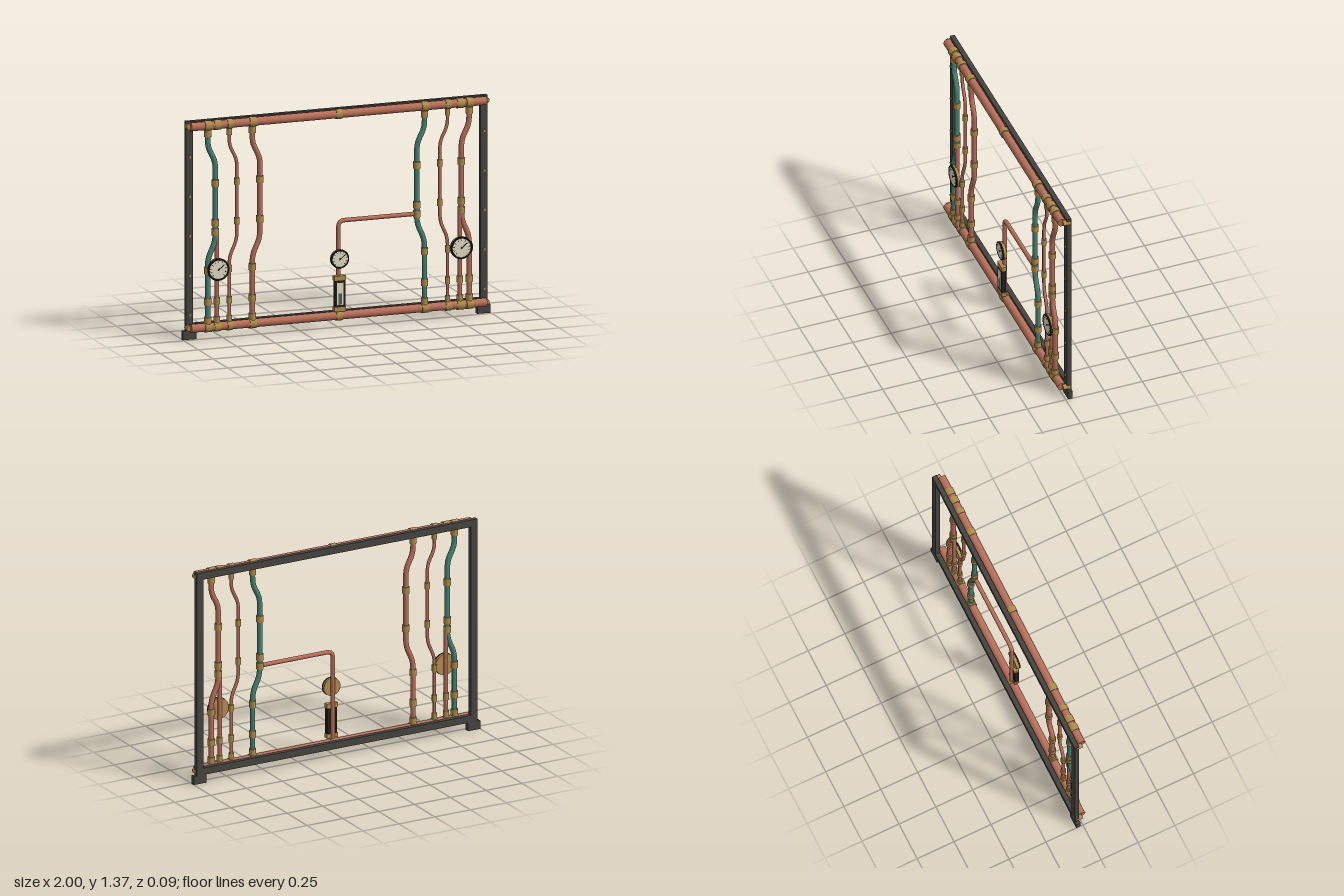
import * as THREE from 'three';

const mat = (name, color) => {
  const m = new THREE.MeshStandardMaterial({ color });
  m.name = name;
  return m;
};

export function createModel() {
  const root = new THREE.Group();
  root.name = 'pipeFrame';
  const copper = mat('copper', 0xb87059);
  const brass = mat('brass', 0xb08d4c);
  const green = mat('greenPatina', 0x4a8474);
  const iron = mat('darkIron', 0x454440);
  const cream = mat('cream', 0xe4dcc4);
  const black = mat('black', 0x211f1c);
  const liquid = mat('liquid', 0x4c6152);
  const Z = 0.01, TOP = 1.336, BOTTOM = 0.075;

  const add = (name, geo, material, x, y, z, parent = root) => {
    const m = new THREE.Mesh(geo, material);
    m.name = name;
    m.position.set(x, y, z);
    parent.add(m);
    return m;
  };
  const box = (name, w, h, d, material, x, y, z, parent) =>
    add(name, new THREE.BoxGeometry(w, h, d), material, x, y, z, parent);
  // Cylinder along 'x', 'y' or 'z'
  const rod = (name, r, len, axis, material, x, y, z, parent, seg = 20) => {
    const g = new THREE.CylinderGeometry(r, r, len, seg);
    if (axis === 'x') g.rotateZ(-Math.PI / 2);
    if (axis === 'z') g.rotateX(Math.PI / 2);
    return add(name, g, material, x, y, z, parent);
  };

  // Iron frame with feet and bolts
  const FZ = -0.03, FD = 0.03;
  for (const s of [-1, 1]) {
    box('upright', 0.045, 1.32, FD, iron, s * 0.9575, 0.705, FZ);
    box('foot', 0.086, 0.054, FD, iron, s * 0.957, 0.027, FZ);
    for (let i = 0; i < 5; i++)
      rod('bolt', 0.009, 0.008, 'z', brass, s * 0.9575, 0.155 + i * 0.247, -0.012, root, 6);
  }
  box('topBeam', 1.87, 0.045, FD, iron, 0, 1.3425, FZ);
  box('bottomBeam', 1.87, 0.045, FD, iron, 0, 0.076, FZ);

  // Horizontal rails with brass sleeves and wall standoffs
  for (const y of [TOP, BOTTOM]) {
    rod('rail', 0.026, 1.92, 'x', copper, 0, y, Z);
    for (const s of [-1, 1]) {
      rod('railStandoff', 0.017, 0.044, 'z', brass, s * 0.968, y, -0.014);
      for (const x of [0.56, 0.71, 0.79, 0.85])
        rod('railSleeve', 0.031, x === 0.71 ? 0.034 : 0.044, 'x', brass, s * x, y, Z);
    }
    rod('railSleeve', 0.031, 0.038, 'x', brass, 0, y, Z);
  }

  // Upright pipes that sidestep toward the middle and back again
  const steppedPipe = (x, r, material, tee) => {
    const xi = x - Math.sign(x) * 0.05;
    const v = (a, y) => new THREE.Vector3(a, y, Z);
    const path = new THREE.CurvePath();
    const sBend = (a, y0, b, y1) => {
      const h = (y0 - y1) * 0.5;
      path.add(new THREE.CubicBezierCurve3(v(a, y0), v(a, y0 - h), v(b, y1 + h), v(b, y1)));
    };
    path.add(new THREE.LineCurve3(v(x, TOP), v(x, 1.25)));
    sBend(x, 1.25, xi, 1.06);
    path.add(new THREE.LineCurve3(v(xi, 1.06), v(xi, 0.66)));
    sBend(xi, 0.66, x, 0.45);
    path.add(new THREE.LineCurve3(v(x, 0.45), v(x, BOTTOM)));
    add('steppedPipe', new THREE.TubeGeometry(path, 90, r, 14), material, 0, 0, 0);
    const collars = [[x, 1.288], [xi, 0.973], [xi, 0.725], [x, 0.43], [x, 0.235], [x, 0.118]];
    if (tee) collars.push([xi, 0.668]);
    for (const [cx, cy] of collars)
      rod('collar', r + 0.006, 0.042, 'y', brass, cx, cy, Z);
  };
  steppedPipe(-0.85, 0.017, green, true);
  steppedPipe(-0.71, 0.0105, copper, false);
  steppedPipe(-0.56, 0.0165, copper, false);
  steppedPipe(0.56, 0.0165, green, true);
  steppedPipe(0.71, 0.0105, copper, false);
  steppedPipe(0.85, 0.017, copper, true);

  // Dial gauge: brass body, black rim, cream face, ticks and needle
  const gauge = (x, y, r) => {
    const g = new THREE.Group();
    g.name = 'gauge';
    g.position.set(x, y, 0);
    root.add(g);
    rod('gaugeBody', r * 0.97, 0.018, 'z', brass, 0, 0, 0.025, g, 36);
    rod('gaugeRim', r, 0.008, 'z', black, 0, 0, 0.037, g, 36);
    add('gaugeRimRing', new THREE.TorusGeometry(r * 0.9, r * 0.07, 8, 36), black, 0, 0, 0.0405, g);
    rod('gaugeFace', r * 0.84, 0.002, 'z', cream, 0, 0, 0.0415, g, 36);
    for (let i = 0; i < 11; i++) {
      const a = THREE.MathUtils.degToRad(-45 + i * 27);
      const t = box('tick', r * 0.14, r * 0.05, 0.001, black,
        Math.cos(a) * r * 0.7, Math.sin(a) * r * 0.7, 0.043, g);
      t.rotation.z = a;
    }
    const n = box('needle', r * 0.75, r * 0.09, 0.001, black, r * 0.2, r * 0.16, 0.0435, g);
    n.rotation.z = 0.67;
    rod('needleHub', r * 0.09, 0.002, 'z', black, 0, 0, 0.0435, g, 12);
  };

  // Straight gauge pipes beside the outer pipes
  for (const s of [-1, 1]) {
    rod('gaugePipe', 0.0135, 0.59, 'y', copper, s * 0.79, 0.365, Z);
    for (const y of [0.235, 0.118]) rod('collar', 0.019, 0.042, 'y', brass, s * 0.79, y, Z);
    gauge(s * 0.79, 0.436, 0.07);
  }

  // Centre pipe with a rounded corner, running to the inner green pipe
  const p = (x, y) => new THREE.Vector3(x, y, Z);
  const centre = new THREE.CurvePath();
  centre.add(new THREE.LineCurve3(p(0, BOTTOM), p(0, 0.628)));
  centre.add(new THREE.QuadraticBezierCurve3(p(0, 0.628), p(0, 0.668), p(0.04, 0.668)));
  centre.add(new THREE.LineCurve3(p(0.04, 0.668), p(0.51, 0.668)));
  add('centrePipe', new THREE.TubeGeometry(centre, 120, 0.0135, 14), copper, 0, 0, 0);
  gauge(0, 0.434, 0.059);

  // Level glass on the centre pipe
  box('glassTopCap', 0.076, 0.028, 0.032, brass, 0, 0.315, 0.027);
  box('glassBottomCap', 0.076, 0.028, 0.032, brass, 0, 0.12, 0.027);
  box('glassHousing', 0.068, 0.168, 0.028, black, 0, 0.217, 0.029);
  box('glassWindow', 0.042, 0.138, 0.002, cream, 0, 0.217, 0.0432);
  box('glassLiquid', 0.024, 0.07, 0.002, liquid, 0, 0.185, 0.044);
  return root;
}
